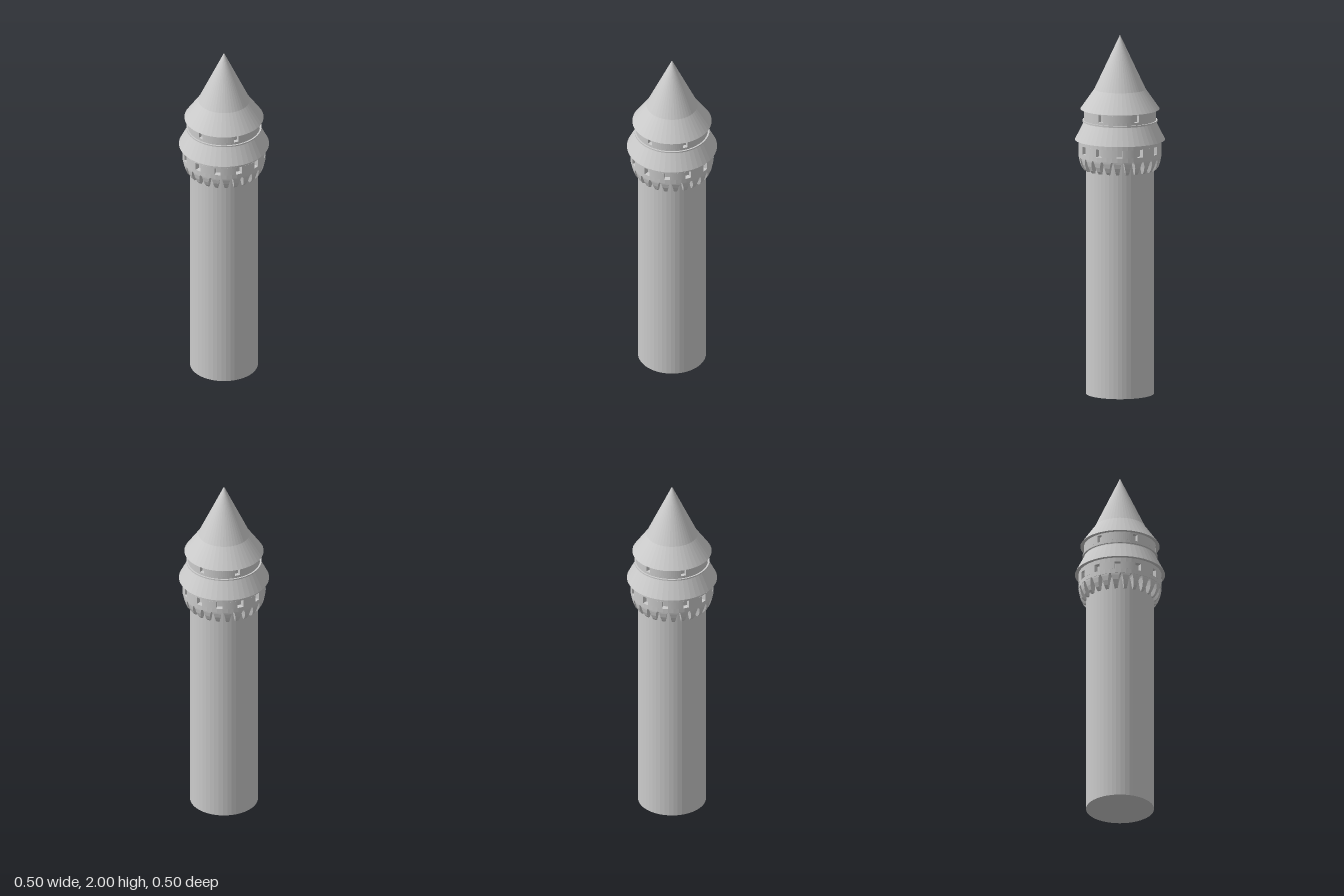
import * as THREE from 'three';

const SEG = 48;
const material = new THREE.MeshStandardMaterial({ color: 0xcccccc, flatShading: true, side: THREE.DoubleSide });

function part(name, geometry) {
  const mesh = new THREE.Mesh(geometry, material);
  mesh.name = name;
  return mesh;
}

// Turned part from [radius, height] pairs, listed upwards along the outside
function turned(name, points) {
  return part(name, new THREE.LatheGeometry(points.map(([r, y]) => new THREE.Vector2(r, y)), SEG));
}

// Ring with a rectangular section
function band(name, inner, outer, y0, y1) {
  return turned(name, [[inner, y0], [outer, y0], [outer, y1], [inner, y1], [inner, y0]]);
}

// Curved piece of wall between two angles, measured from +z towards +x
function pier(inner, outer, y0, y1, from, to) {
  const a = from - Math.PI / 2, b = to - Math.PI / 2;
  const shape = new THREE.Shape();
  shape.absarc(0, 0, outer, a, b, false);
  shape.absarc(0, 0, inner, b, a, true);
  shape.closePath();
  const geometry = new THREE.ExtrudeGeometry(shape, { depth: y1 - y0, bevelEnabled: false, curveSegments: 8 });
  geometry.rotateX(-Math.PI / 2).translate(0, y0, 0);
  return part('wallPier', geometry);
}

// Round storey with a row of real window openings and a core behind them
function storey(name, { inner, outer, y0, y1, sill, head, count, width, offset }) {
  const group = new THREE.Group();
  group.name = name;
  group.add(band('wallBelowWindows', inner, outer, y0, sill));
  group.add(band('wallAboveWindows', inner, outer, head, y1));
  const step = (Math.PI * 2) / count, half = width / 2 / outer;
  for (let i = 0; i < count; i++) {
    const angle = i * step + offset;
    group.add(pier(inner, outer, sill, head, angle + half, angle + step - half));
  }
  group.add(turned('innerCore', [[inner - 0.005, y0], [inner - 0.005, y1]]));
  return group;
}

// Tapered bracket: rows of [height, outer radius, half width]
function corbelGeometry() {
  const rows = [[1.25, 0.198, 0.008], [1.265, 0.21, 0.011], [1.29, 0.22, 0.015], [1.315, 0.225, 0.021], [1.328, 0.226, 0.027]];
  const back = 0.18, positions = [], index = [];
  rows.forEach(([y, r, w]) => positions.push(-w, y, back, -w, y, r, w, y, r, w, y, back));
  for (let i = 0; i < rows.length - 1; i++) {
    for (let k = 0; k < 4; k++) {
      const a = i * 4 + k, b = i * 4 + ((k + 1) % 4);
      index.push(a, b, b + 4, a, b + 4, a + 4);
    }
  }
  index.push(0, 2, 1, 0, 3, 2);
  const geometry = new THREE.BufferGeometry();
  geometry.setAttribute('position', new THREE.Float32BufferAttribute(positions, 3));
  geometry.setIndex(index);
  geometry.computeVertexNormals();
  return geometry;
}

export function createModel() {
  const tower = new THREE.Group();
  tower.name = 'tower';

  // Plain shaft
  tower.add(turned('shaft', [[0, 0], [0.187, 0], [0.187, 1.34], [0, 1.34]]));

  // Ring of brackets carrying the gallery
  const corbels = new THREE.Group();
  corbels.name = 'corbels';
  const corbel = corbelGeometry();
  for (let i = 0; i < 24; i++) {
    const mesh = part('corbel', corbel);
    mesh.rotation.y = (i / 24) * Math.PI * 2;
    corbels.add(mesh);
  }
  tower.add(corbels);

  // Wide gallery with twelve windows
  tower.add(storey('gallery', {
    inner: 0.2, outer: 0.228, y0: 1.325, y1: 1.42, sill: 1.35, head: 1.393, count: 12, width: 0.034, offset: 0.05,
  }));

  // Sloping skirt roof over the gallery
  tower.add(turned('lowerRoof', [[0.17, 1.417], [0.248, 1.417], [0.198, 1.515], [0.17, 1.515]]));

  // Thin ledge under the upper storey
  tower.add(band('ledge', 0.17, 0.207, 1.519, 1.526));

  // Narrower upper storey with six windows
  tower.add(storey('upperStorey', {
    inner: 0.175, outer: 0.198, y0: 1.51, y1: 1.592, sill: 1.54, head: 1.58, count: 6, width: 0.028, offset: 0.025,
  }));

  // Flared spire
  tower.add(turned('spire', [[0, 1.588], [0.218, 1.588], [0.141, 1.698], [0, 2]]));

  return tower;
}
